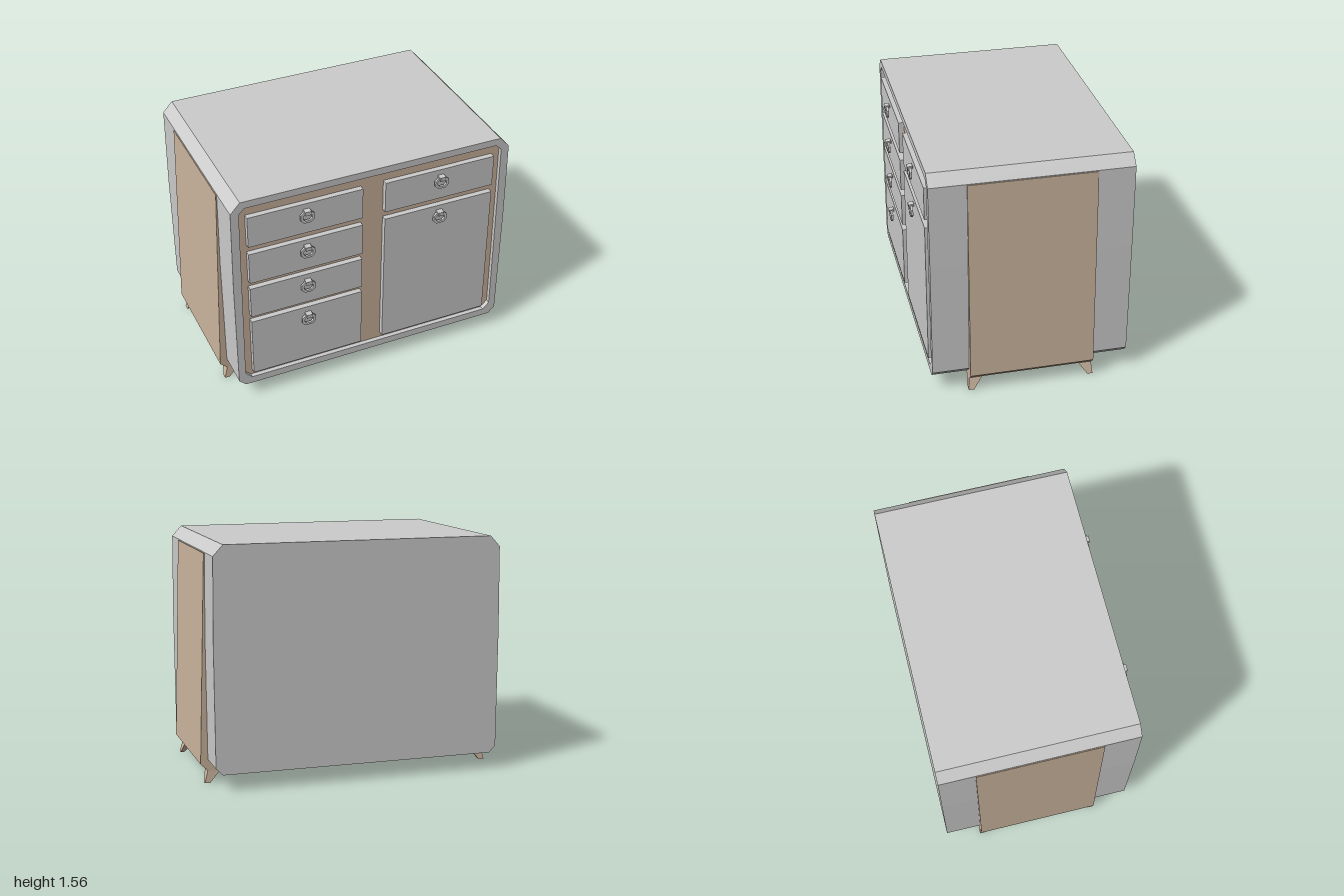
import * as THREE from 'three';

const grey = new THREE.MeshStandardMaterial({ color: 0xcccccc, flatShading: true });
const wood = new THREE.MeshStandardMaterial({ color: 0xcbb49d, flatShading: true });

// Outline mirrored about x = 0 from its right half, listed bottom to top
const mirrored = (half) => [...half, ...half.map(([x, y]) => [-x, y]).reverse()];
const toVectors = (points) => points.map(([x, y]) => new THREE.Vector2(x, y));

function addMesh(parent, name, geometry, material) {
  const mesh = new THREE.Mesh(geometry, material);
  mesh.name = name;
  parent.add(mesh);
  return mesh;
}

// Flat outline extruded between two z values
function slab(points, z0, z1, hole) {
  const shape = new THREE.Shape(toVectors(points));
  if (hole) shape.holes.push(new THREE.Path(toVectors(hole)));
  return new THREE.ExtrudeGeometry(shape, { depth: z1 - z0, bevelEnabled: false }).translate(0, 0, z0);
}

// Rectangle with cut corners, centred on the origin
const octagon = (w, h, c) => mirrored([[w - c, -h], [w, -h + c], [w, h - c], [w - c, h]]);

// Splayed leg: wide five-sided top tapering to a small foot
function legGeometry() {
  const section = (x0, x1, z0, z1, y) => [
    [x1, y, z1], [x1, y, z0], [x0 + (x1 - x0) * 0.5, y, z0],
    [x0, y, z0 + (z1 - z0) * 0.5], [x0, y, z1],
  ];
  const foot = section(0.94, 0.975, 0.38, 0.415, 0);
  const top = section(0.865, 0.952, 0.32, 0.407, 0.085);
  const index = [];
  for (let i = 0; i < 5; i++) {
    const j = (i + 1) % 5;
    index.push(i, j, 5 + j, i, 5 + j, 5 + i);
  }
  for (let i = 1; i < 4; i++) index.push(0, i + 1, i, 5, 5 + i, 6 + i);
  const geometry = new THREE.BufferGeometry();
  geometry.setAttribute('position', new THREE.Float32BufferAttribute([...foot, ...top].flat(), 3));
  geometry.setIndex(index);
  const flat = geometry.toNonIndexed();
  flat.computeVertexNormals();
  return flat;
}

// Hanging ring pull on a small bracket
function createHandle(x, y) {
  const handle = new THREE.Group();
  handle.name = 'handle';
  addMesh(handle, 'ring', slab(octagon(0.047, 0.04, 0.022), 0.645, 0.66, octagon(0.03, 0.024, 0.014)), grey);
  addMesh(handle, 'bracketStem', new THREE.BoxGeometry(0.018, 0.018, 0.042), grey).position.set(0, 0.034, 0.649);
  const cap = addMesh(handle, 'bracketCap', new THREE.BoxGeometry(0.042, 0.012, 0.034), grey);
  cap.position.set(0, 0.042, 0.652);
  cap.rotation.x = 0.12;
  addMesh(handle, 'bracketTab', new THREE.BoxGeometry(0.036, 0.024, 0.006), grey).position.set(0, 0.028, 0.663);
  handle.position.set(x, y, 0);
  return handle;
}

export function createModel() {
  const model = new THREE.Group();
  model.name = 'cabinet';
  const backZ = -0.665, recessZ = 0.595, frontZ = 0.625;

  // Cabinet shell with chamfered corners and a shallow front recess
  const outline = mirrored([[0.908, 0.11], [0.952, 0.155], [0.957, 0.94], [0.952, 1.49], [0.888, 1.56]]);
  const opening = mirrored([[0.86, 0.16], [0.905, 0.205], [0.898, 1.475], [0.86, 1.512]]);
  addMesh(model, 'body', slab(outline, backZ, recessZ - 0.01), grey);
  addMesh(model, 'frontRim', slab(outline, recessZ - 0.01, frontZ, opening), grey);
  addMesh(model, 'facePanel', slab(opening, recessZ - 0.01, recessZ), wood);

  // Drawer and door fronts: x0, x1, y0, y1, handle height
  const fronts = [
    ['drawerFront', -0.85, -0.08, 1.22, 1.44, 1.355],
    ['drawerFront', -0.85, -0.08, 0.94, 1.165, 1.085],
    ['drawerFront', -0.85, -0.08, 0.67, 0.895, 0.812],
    ['drawerFront', -0.85, -0.08, 0.2, 0.628, 0.542],
    ['drawerFront', 0.075, 0.845, 1.22, 1.44, 1.355],
    ['doorFront', 0.075, 0.845, 0.2, 1.165, 1.085],
  ];
  for (const [name, x0, x1, y0, y1, handleY] of fronts) {
    const depth = 0.037;
    addMesh(model, name, new THREE.BoxGeometry(x1 - x0, y1 - y0, depth), grey)
      .position.set((x0 + x1) / 2, (y0 + y1) / 2, recessZ + depth / 2);
    model.add(createHandle((x0 + x1) / 2, handleY));
  }

  // Wooden cradle: base plate and tapered cheeks in one U-shaped slab
  const cradle = [
    ...mirrored([[0.95, 0.078], [1, 0.125], [0.958, 1.485], [0.948, 1.485], [0.948, 0.157], [0.904, 0.113]]),
  ];
  addMesh(model, 'cradle', slab(cradle, -0.428, 0.387), wood);

  // Four splayed legs, mirrored about the cradle's centre
  const leg = legGeometry();
  for (const sx of [-1, 1]) {
    for (const sz of [-1, 1]) {
      const mesh = addMesh(model, sz > 0 ? 'frontLeg' : 'backLeg', leg, wood);
      mesh.scale.set(sx, 1, sz);
      mesh.position.z = -0.02;
    }
  }
  return model;
}
